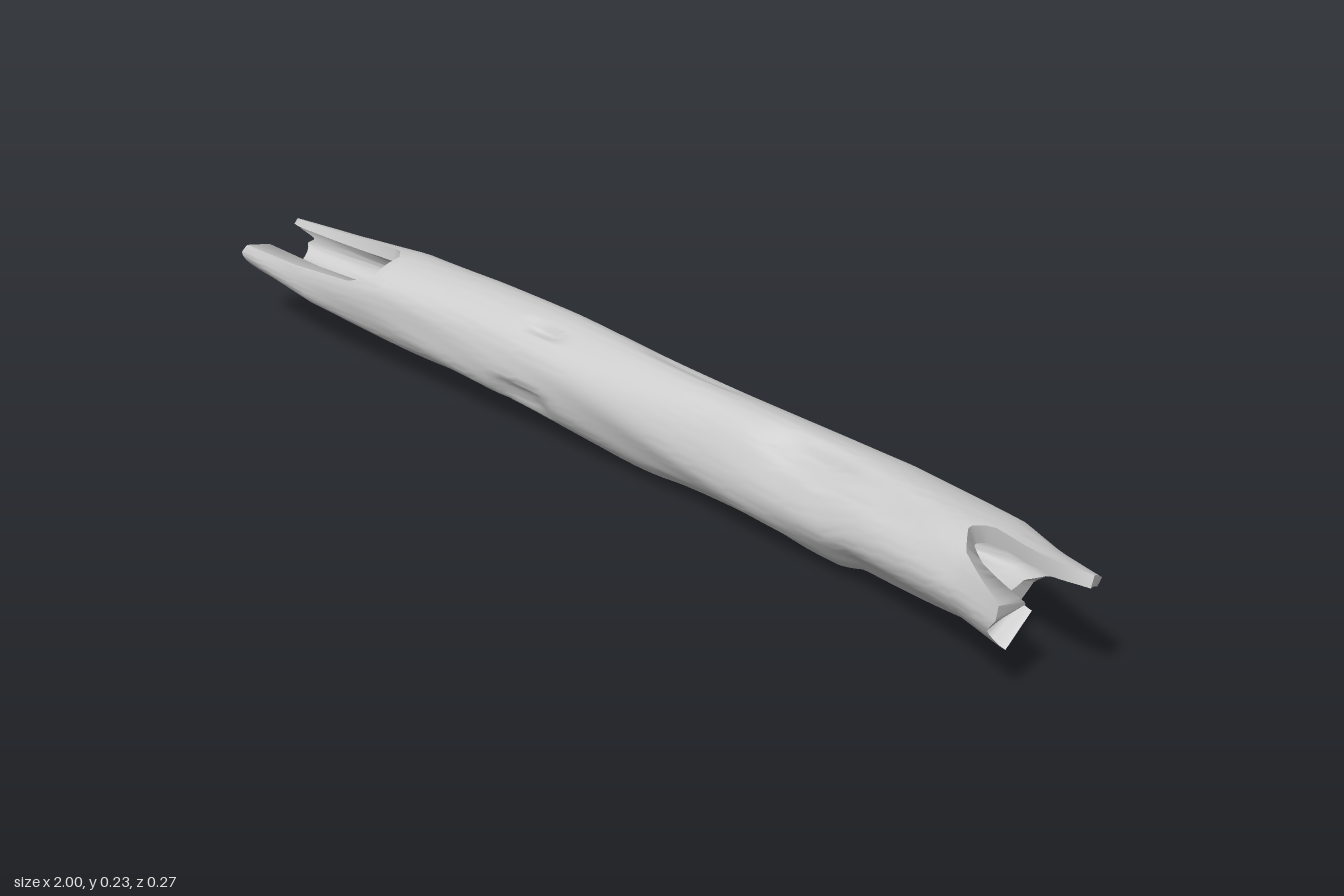
import * as THREE from 'three';
import { toCreasedNormals } from 'three/addons/utils/BufferGeometryUtils.js';

const SIDES = 80, CAVITY_ROWS = 8;

// Log outline stations: x, bottom y, top y, back z, front z
const STATIONS = [
  [-1.0, 0.10, 0.205, -0.088, 0.062], [-0.8, 0.07, 0.215, -0.11, 0.066],
  [-0.6, 0.06, 0.233, -0.125, 0.062], [-0.4, 0.05, 0.23, -0.135, 0.052],
  [-0.2, 0.035, 0.225, -0.136, 0.045], [0.0, 0.022, 0.22, -0.128, 0.04],
  [0.2, 0.014, 0.21, -0.132, 0.037], [0.4, 0.01, 0.204, -0.136, 0.047],
  [0.5, 0.013, 0.206, -0.13, 0.056], [0.56, 0.033, 0.207, -0.125, 0.063],
  [0.8, 0.055, 0.213, -0.088, 0.105], [0.9, 0.062, 0.216, -0.045, 0.135],
  [1.0, 0.075, 0.222, -0.01, 0.15],
];

// Broken ends: angle in degrees (0 front, 90 top, 180 back, 270 bottom), x
const LEFT_END = [
  [0, -1], [18, -0.99], [27, -0.68], [38, -0.62], [80, -0.61], [98, -0.64], [105, -0.78],
  [114, -0.95], [125, -0.98], [158, -0.99], [172, -0.95], [190, -0.97], [230, -0.95],
  [270, -0.9], [300, -0.94], [330, -0.99], [360, -1],
];
const RIGHT_END = [
  [0, 0.9], [20, 0.9], [32, 0.85], [45, 0.8], [70, 0.77], [85, 0.8], [95, 0.95],
  [108, 1], [130, 0.995], [150, 0.97], [170, 0.92], [187, 0.86], [210, 0.82],
  [240, 0.82], [270, 0.85], [300, 0.88], [320, 0.91], [340, 0.88], [360, 0.9],
];

// Dents and lumps: x, angle, half length, half angle, depth as part of the radius
const DENTS = [
  [0.42, 65, 0.09, 13, 0.1], [0.52, 55, 0.15, 15, 0.13], [-0.22, 335, 0.06, 14, 0.12],
  [-0.2, 62, 0.04, 8, 0.15], [0.1, 105, 0.1, 10, 0.05], [0.45, 215, 0.07, 12, 0.18],
  [0.6, 250, 0.08, 20, 0.16], [0.72, 222, 0.06, 14, 0.18], [0.1, 235, 0.12, 16, 0.12],
  [-0.45, 250, 0.15, 18, 0.12], [-0.75, 225, 0.08, 14, 0.12], [-0.3, 300, 0.12, 14, 0.08],
  [0.42, 268, 0.12, 14, -0.06], [0.25, 300, 0.15, 18, 0.1],
];

// Linear lookup in a table sorted by its first column
function lookup(table, at, column = 1) {
  let i = 1;
  while (i < table.length - 1 && table[i][0] < at) i++;
  const a = table[i - 1], b = table[i];
  const t = THREE.MathUtils.clamp((at - a[0]) / (b[0] - a[0]), 0, 1);
  return THREE.MathUtils.lerp(a[column], b[column], t);
}

// Bark relief: long uneven grain plus the dents
function relief(x, deg) {
  const a = THREE.MathUtils.degToRad(deg);
  const under = 0.5 - 0.5 * Math.sin(a);
  let k = 1 + (0.012 + 0.025 * under) * Math.sin(5 * a + 4 * x + Math.sin(7 * x))
    + 0.014 * Math.sin(3 * a - 9 * x) + 0.012 * under * Math.sin(9 * a + 17 * x);
  for (const [dx, da, lx, la, depth] of DENTS) {
    const turn = ((deg - da + 540) % 360) - 180;
    k -= depth * Math.exp(-(((x - dx) / lx) ** 4) - (turn / la) ** 4);
  }
  return k;
}

function pointAt(x, deg, scale) {
  const [y0, y1, z0, z1] = [1, 2, 3, 4].map((c) => lookup(STATIONS, x, c));
  const a = THREE.MathUtils.degToRad(deg), k = scale * relief(x, deg);
  return [
    x,
    (y0 + y1) / 2 + Math.sin(a) * k * (y1 - y0) / 2,
    (z0 + z1) / 2 + Math.cos(a) * k * (z1 - z0) / 2,
  ];
}

// Size of the hollow: nearly solid wood at the front, thin shell at the upper back
function wallScale(deg) {
  const a = THREE.MathUtils.degToRad(deg);
  return 0.5 - 0.3 * Math.cos(a) + 0.15 * Math.sin(a);
}

// Row of the hollow, from the rim (t = 0) to its closed floor (t = 1)
const cavityRow = (end, floor, t) => (deg) =>
  pointAt(THREE.MathUtils.lerp(lookup(end, deg), floor, t), deg, wallScale(deg) * Math.sqrt(1 - t * t));

// Row of the bark between two x functions
const barkRow = (from, to, t) => (deg) =>
  pointAt(THREE.MathUtils.lerp(from(deg), to(deg), t), deg, 1);

function logGeometry() {
  const rows = [];
  // Left hollow, from its floor out to the rim
  for (let i = CAVITY_ROWS; i >= 0; i--) rows.push(cavityRow(LEFT_END, -0.52, i / CAVITY_ROWS));
  // Bark: ragged left end, even middle, ragged right end
  const spans = [
    [(deg) => lookup(LEFT_END, deg), () => -0.57, 18],
    [() => -0.57, () => 0.74, 64],
    [() => 0.74, (deg) => lookup(RIGHT_END, deg), 12],
  ];
  spans.forEach(([from, to, count], s) => {
    for (let i = s ? 1 : 0; i <= count; i++) rows.push(barkRow(from, to, i / count));
  });
  // Right hollow, from the rim in to its floor
  for (let i = 0; i <= CAVITY_ROWS; i++) rows.push(cavityRow(RIGHT_END, 0.66, i / CAVITY_ROWS));

  const positions = [], index = [];
  rows.forEach((row, r) => {
    for (let s = 0; s < SIDES; s++) {
      positions.push(...row(s * 360 / SIDES));
      if (r === rows.length - 1) continue;
      const a = r * SIDES + s, b = r * SIDES + (s + 1) % SIDES;
      index.push(a, a + SIDES, b + SIDES, a, b + SIDES, b);
    }
  });
  const geometry = new THREE.BufferGeometry();
  geometry.setAttribute('position', new THREE.Float32BufferAttribute(positions, 3));
  geometry.setIndex(index);
  geometry.computeBoundingBox();
  geometry.translate(0, -geometry.boundingBox.min.y, 0);
  return toCreasedNormals(geometry, 0.9);
}

export function createModel() {
  const group = new THREE.Group();
  group.name = 'hollowLog';
  const log = new THREE.Mesh(
    logGeometry(),
    new THREE.MeshStandardMaterial({ color: 0xcccccc, side: THREE.DoubleSide }));
  log.name = 'logTrunk';
  group.add(log);
  return group;
}
